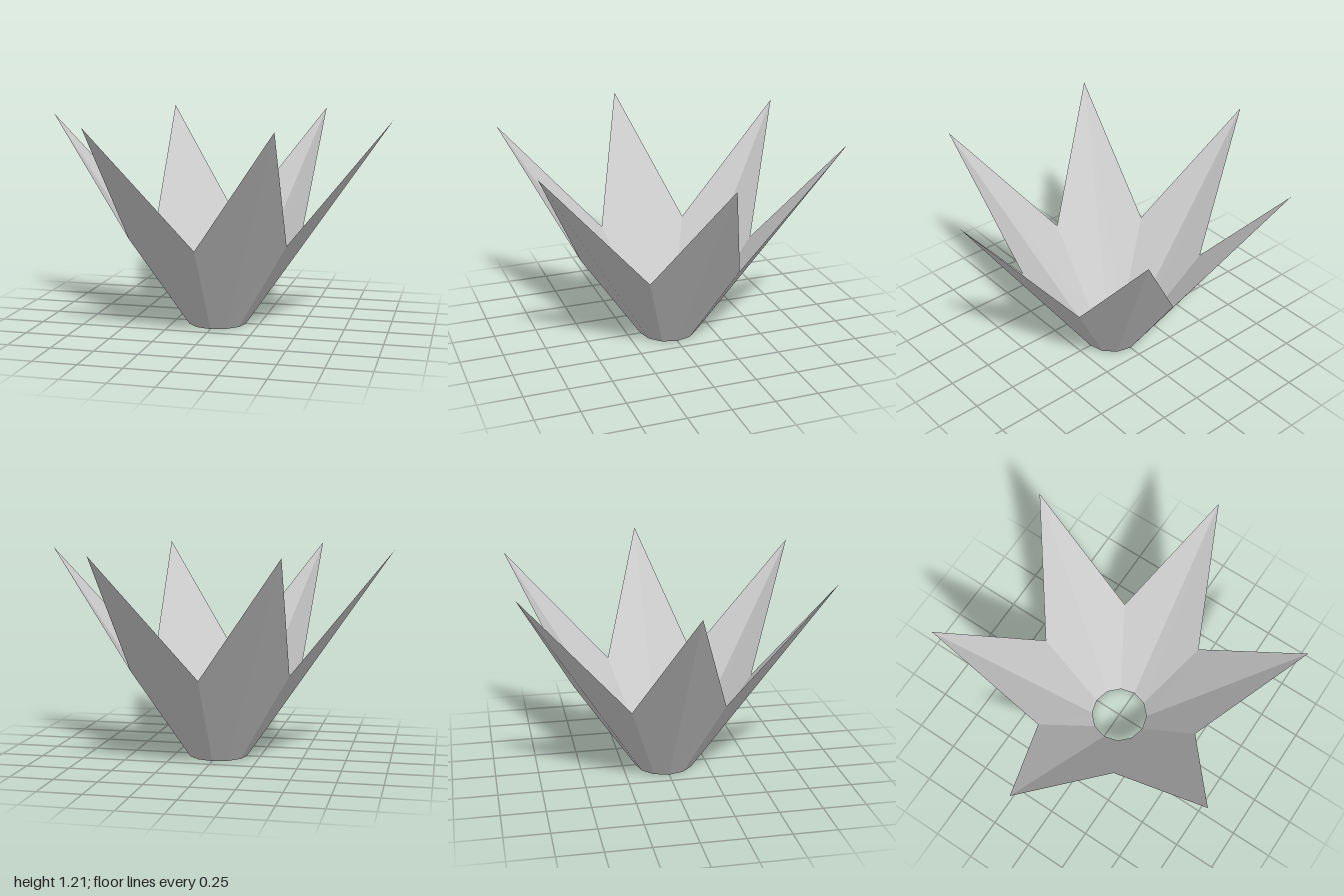
import * as THREE from 'three';

// Six-pointed flared cup: a 12-sided open tube whose rim alternates valley / tip
export function createModel() {
  const group = new THREE.Group();
  group.name = 'flaredCrown';

  const sides = 12;
  const baseRadius = 0.172;
  const tip = { radius: 1, height: 1.21 };
  const valley = { radius: 0.527, height: 0.525 };

  const geometry = new THREE.CylinderGeometry(1, baseRadius, 1, sides, 1, true);
  geometry.translate(0, 0.5, 0);
  const pos = geometry.attributes.position;

  // Rim: odd corners rise to tips, even corners dip to valleys
  for (let i = 0; i <= sides; i++) {
    const { radius, height } = i % 2 ? tip : valley;
    const angle = (i / sides) * Math.PI * 2;
    pos.setXYZ(i, Math.sin(angle) * radius, height, Math.cos(angle) * radius);
  }
  geometry.computeVertexNormals();

  const petals = new THREE.Mesh(
    geometry,
    new THREE.MeshStandardMaterial({ color: 0xcccccc, flatShading: true, side: THREE.DoubleSide })
  );
  petals.name = 'petals';
  group.add(petals);
  return group;
}
